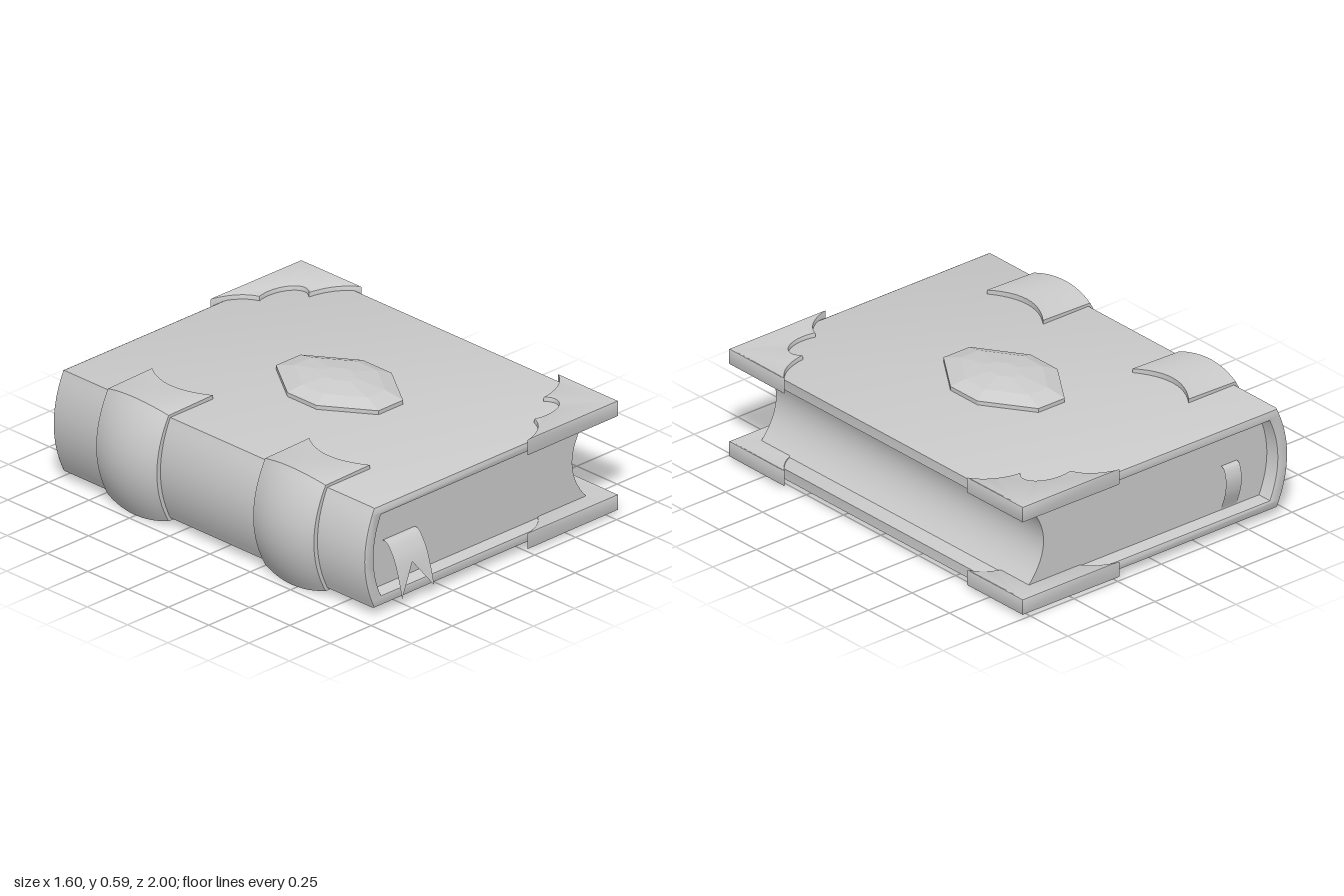
import * as THREE from 'three';
import { toCreasedNormals } from 'three/addons/utils/BufferGeometryUtils.js';
import { ConvexGeometry } from 'three/addons/geometries/ConvexGeometry.js';

const grey = new THREE.MeshStandardMaterial({ color: 0xcccccc });
const thin = new THREE.MeshStandardMaterial({ color: 0xcccccc, side: THREE.DoubleSide });

function part(name, geometry, material = grey) {
  const mesh = new THREE.Mesh(geometry, material);
  mesh.name = name;
  return mesh;
}

// Extrusion of total length `depth`, centred on z, with a small inset bevel
function extrude(shape, depth, bevel) {
  const g = new THREE.ExtrudeGeometry(shape, {
    depth: depth - 2 * bevel, curveSegments: 16, bevelEnabled: bevel > 0,
    bevelThickness: bevel, bevelSize: bevel, bevelOffset: -bevel, bevelSegments: 2,
  });
  g.translate(0, 0, -depth / 2 + bevel);
  return toCreasedNormals(g, 0.55);
}

function grid(positions, index) {
  const g = new THREE.BufferGeometry();
  g.setAttribute('position', new THREE.Float32BufferAttribute(positions, 3));
  g.setIndex(index);
  return toCreasedNormals(g, 0.6);
}

// Boards and rounded spine as one C-shaped section
function coverGeometry() {
  const s = new THREE.Shape();
  s.moveTo(0.775, 0.243);
  s.lineTo(-0.68, 0.243);
  s.quadraticCurveTo(-0.80, 0, -0.68, -0.243);
  s.lineTo(0.775, -0.243);
  s.lineTo(0.775, -0.194);
  s.lineTo(-0.635, -0.194);
  s.quadraticCurveTo(-0.725, 0, -0.635, 0.194);
  s.lineTo(0.775, 0.194);
  s.closePath();
  return extrude(s, 1.936, 0.012);
}

// Page block with a hollow fore-edge
function pagesGeometry() {
  const s = new THREE.Shape();
  s.moveTo(-0.637, 0.196);
  s.quadraticCurveTo(-0.727, 0, -0.637, -0.196);
  s.lineTo(0.69, -0.196);
  s.quadraticCurveTo(0.51, 0, 0.69, 0.196);
  s.closePath();
  return extrude(s, 1.79, 0);
}

// Scalloped corner guard lying flat
function cornerGeometry() {
  const s = new THREE.Shape();
  s.moveTo(0.24, 0.983);
  s.quadraticCurveTo(0.38, 0.945, 0.41, 0.852);
  s.bezierCurveTo(0.53, 0.89, 0.67, 0.81, 0.59, 0.728);
  s.quadraticCurveTo(0.73, 0.71, 0.795, 0.61);
  s.lineTo(0.795, 0.983);
  s.closePath();
  return extrude(s, 0.076, 0.005).rotateX(Math.PI / 2);
}

// Side profile of a strap: upper arm, bowed spine, lower arm
function strapProfile(endX, endY, cornerX, cornerY, midX) {
  const pts = [], n = 20;
  pts.push([endX, endY], [(endX + cornerX) / 2, (endY + cornerY) / 2]);
  for (let i = 0; i <= n; i++) {
    const k = 1 - 2 * i / n;
    pts.push([cornerX + (midX - cornerX) * (1 - k * k), cornerY * k]);
  }
  pts.push([(endX + cornerX) / 2, -(endY + cornerY) / 2], [endX, -endY]);
  return pts;
}

// Strap domed across its width, with a notched end on each board
function strapGeometry() {
  const edge = strapProfile(-0.42, 0.262, -0.69, 0.256, -0.762);
  const crown = strapProfile(-0.49, 0.268, -0.71, 0.284, -0.80);
  const inner = strapProfile(-0.42, 0.238, -0.67, 0.232, -0.73);
  const innerMid = strapProfile(-0.49, 0.238, -0.67, 0.232, -0.73);
  const n = 12, ring = 2 * n + 2, rows = edge.length, pos = [], idx = [];
  for (let i = 0; i < rows; i++) {
    for (let j = 0; j < ring; j++) {
      const outer = j <= n;
      const s = -1 + 2 * (outer ? j : ring - 1 - j) / n;
      const a = outer ? edge[i] : inner[i], b = outer ? crown[i] : innerMid[i];
      const w = 1 - s * s;
      pos.push(a[0] + (b[0] - a[0]) * w, a[1] + (b[1] - a[1]) * w, s * 0.188);
    }
  }
  const at = (i, j) => i * ring + j % ring;
  for (let i = 0; i < rows - 1; i++) {
    for (let j = 0; j < ring; j++) {
      idx.push(at(i, j), at(i + 1, j), at(i, j + 1), at(i + 1, j), at(i + 1, j + 1), at(i, j + 1));
    }
  }
  for (let k = 0; k < n; k++) {
    const p = ring - 1 - k, last = rows - 1;
    idx.push(at(0, k), at(0, k + 1), at(0, p - 1), at(0, k), at(0, p - 1), at(0, p));
    idx.push(at(last, k), at(last, p - 1), at(last, k + 1), at(last, k), at(last, p), at(last, p - 1));
  }
  return grid(pos, idx);
}

// Elongated octagonal jewel: upright rim, slanted facets, small crown
function gemGeometry() {
  const outline = [];
  for (const [x, z] of [[0.075, 0.318], [0.23, 0.09]]) {
    outline.push([x, z], [-x, z], [x, -z], [-x, -z]);
  }
  const pts = [];
  for (const [scale, y] of [[1, 0.23], [1, 0.262], [0.72, 0.288], [0.25, 0.304]]) {
    for (const [x, z] of outline) pts.push(new THREE.Vector3(x * scale, y, z * scale));
  }
  return new ConvexGeometry(pts);
}

// Ribbon along (y, z) points; the tail is swallow-cut from fraction `cut`
function ribbonGeometry(points, x, halfWidth, cut) {
  const curve = new THREE.CatmullRomCurve3(points.map(([y, z]) => new THREE.Vector3(x, y, z)));
  const n = 24, pos = [], idx = [];
  for (let i = 0; i <= n; i++) {
    for (let c = -1; c <= 1; c++) {
      const p = curve.getPointAt(c === 0 ? Math.min(i / n, cut) : i / n);
      pos.push(p.x + c * halfWidth, p.y, p.z);
    }
    if (i === n) break;
    for (let c = 0; c < 2; c++) {
      const a = i * 3 + c;
      idx.push(a, a + 3, a + 1, a + 3, a + 4, a + 1);
    }
  }
  const g = new THREE.BufferGeometry();
  g.setAttribute('position', new THREE.Float32BufferAttribute(pos, 3));
  g.setIndex(idx);
  g.computeVertexNormals();
  return g;
}

export function createModel() {
  const model = new THREE.Group();
  model.name = 'ornateBook';
  const book = new THREE.Group();
  book.name = 'book';
  book.position.set(0, 0.285, -0.018);
  model.add(book);

  book.add(part('cover', coverGeometry()), part('pages', pagesGeometry()));

  // Guards on the four fore-edge corners
  const corner = cornerGeometry();
  for (const y of [-1, 1]) {
    for (const z of [-1, 1]) {
      const guard = part('cornerGuard', corner);
      guard.position.y = y * 0.227;
      guard.scale.z = z;
      book.add(guard);
    }
  }

  // Two straps around the spine
  const strap = strapGeometry();
  for (const z of [-0.487, 0.487]) {
    const band = part('spineStrap', strap);
    band.position.z = z;
    book.add(band);
  }

  const gem = part('gem', gemGeometry());
  gem.position.x = 0.06;
  book.add(gem);

  // Bookmark: wide cut tail in front, narrow loop at the back
  book.add(part('ribbonTail', ribbonGeometry(
    [[0.02, 0.88], [0.022, 0.915], [-0.04, 0.963], [-0.13, 0.995], [-0.22, 1.018]], -0.462, 0.098, 0.54), thin));
  book.add(part('ribbonLoop', ribbonGeometry(
    [[0.02, -0.88], [0.018, -0.908], [-0.03, -0.927], [-0.1, -0.924], [-0.195, -0.893]], -0.462, 0.045, 1), thin));

  return model;
}
